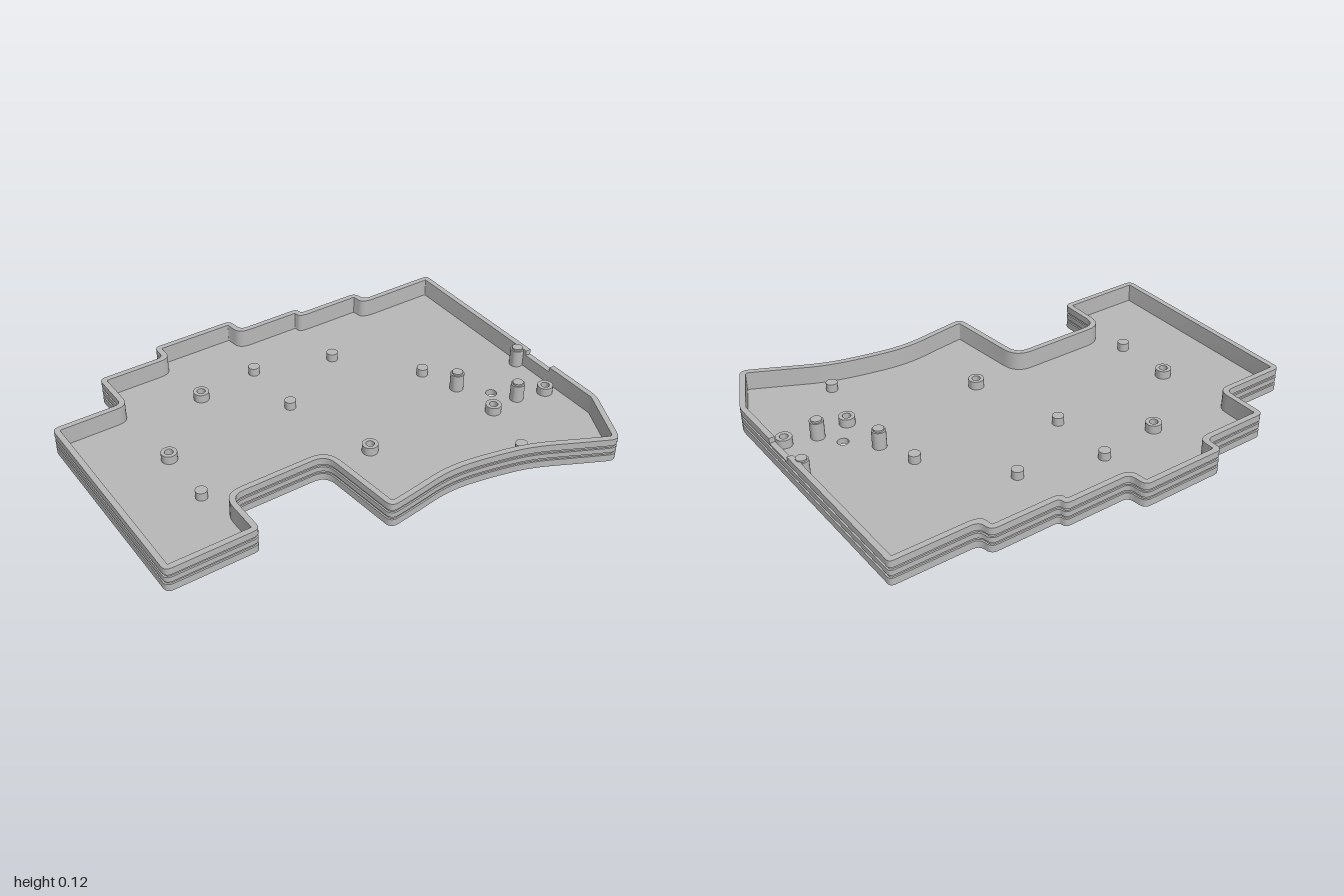
import * as THREE from 'three';
import { toCreasedNormals } from 'three/addons/utils/BufferGeometryUtils.js';

const FLOOR = 0.027, RIM = 0.11, WALL = 0.025, SLOT = 0.087, HOLE = 0.018;

// Corners of the case seen from above: x, z, corner radius
const corners = [
  [-1, 0.46, 0.03], [-0.602, 0.46, 0.03], [-0.602, 0.24, 0.06], [-0.167, 0.24, 0.06],
  [-0.13, 0.632, 0.035], [0, 0.615, 1], [0.2, 0.583, 1], [0.42, 0.622, 1], [0.56, 0.66, 1],
  [0.72, 0.74, 1], [0.875, 0.815, 0.04], [1, 0.545, 0.03],
  [1, 0.281, 0], [1, 0.28, 0], [1, 0.13, 0], [1, 0.129, 0], // wall slot
  [1, -0.627, 0.02], [0.628, -0.627, 0.035], [0.62, -0.69, 0.03], [0.318, -0.69, 0.02],
  [0.312, -0.727, 0.02], [0.015, -0.727, 0.03], [0.005, -0.812, 0.03], [-0.382, -0.812, 0.03],
  [-0.382, -0.727, 0.03], [-0.69, -0.727, 0.03], [-0.69, -0.518, 0.03], [-1, -0.518, 0.03],
].map(([x, z, r]) => ({ p: new THREE.Vector2(x, -z), r }));

const screwBosses = [[-0.34, -0.465], [-0.65, -0.175], [0.055, 0.232], [0.645, 0.305], [0.92, 0.322]];
const pegs = [[-0.055, -0.5], [-0.055, -0.2], [0.295, -0.4], [0.56, -0.08], [-0.655, 0.1], [0.57, 0.57]];
const tallPosts = [[0.62, 0.087], [0.96, 0.087], [0.788, 0.29]];
const plainHole = [0.723, 0.2];

// Rounded outline moved inwards by t; always the same number of points
function outline(t) {
  const n = corners.length;
  const moved = corners.map(({ p, r }, i) => {
    const a = p.clone().sub(corners[(i + n - 1) % n].p).normalize();
    const b = corners[(i + 1) % n].p.clone().sub(p).normalize();
    const n1 = new THREE.Vector2(-a.y, a.x), n2 = new THREE.Vector2(-b.y, b.x);
    const k = t / (1 + n1.dot(n2));
    const radius = r === 0 ? 0 : a.cross(b) > 0 ? Math.max(r - t, 0.005) : r + t;
    return { p: p.clone().addScaledVector(n1.add(n2), k), r: radius };
  });
  const points = [];
  moved.forEach(({ p, r }, i) => {
    if (r === 0) return points.push(p);
    const along = (q) => {
      const d = q.clone().sub(p), len = d.length();
      return p.clone().addScaledVector(d, Math.min(r, len * 0.49) / len);
    };
    const curve = new THREE.QuadraticBezierCurve(
      along(moved[(i + n - 1) % n].p), p, along(moved[(i + 1) % n].p));
    points.push(...curve.getPoints(6));
  });
  return points;
}

// Wall skin swept through [inset, height] steps, with the slot lowered on the right side
function wallGeometry(steps) {
  const pos = [], index = [];
  let n = 0;
  for (const [t, y] of steps) {
    const pts = outline(t);
    n = pts.length;
    for (const p of pts) {
      const inSlot = p.x > 0.9 && -p.y > 0.1295 && -p.y < 0.2805;
      pos.push(p.x, inSlot ? Math.min(y, SLOT) : y, -p.y);
    }
  }
  for (let k = 0; k < steps.length - 1; k++) {
    for (let i = 0; i < n; i++) {
      const j = (i + 1) % n, a = k * n + i, b = k * n + j;
      index.push(a, b, b + n, a, b + n, a + n);
    }
  }
  const g = new THREE.BufferGeometry();
  g.setAttribute('position', new THREE.Float32BufferAttribute(pos, 3));
  g.setIndex(index);
  return toCreasedNormals(g, 0.5);
}

// Flat plate with the through holes
function plateGeometry(t, y, down) {
  const shape = new THREE.Shape(outline(t));
  for (const [x, z] of [...screwBosses, plainHole]) {
    const r = x === plainHole[0] ? 0.024 : HOLE;
    shape.holes.push(new THREE.Path().absarc(x, -z, r, 0, Math.PI * 2, true));
  }
  const g = new THREE.ShapeGeometry(shape, 24);
  g.rotateX(-Math.PI / 2).translate(0, y, 0);
  if (down) {
    g.index.array.reverse();
    g.computeVertexNormals();
  }
  return g;
}

function turned(profile) {
  const pts = profile.map(([r, y]) => new THREE.Vector2(r, y));
  return toCreasedNormals(new THREE.LatheGeometry(pts, 24), 0.6);
}

export function createModel() {
  const model = new THREE.Group();
  model.name = 'caseTray';
  const grey = new THREE.MeshStandardMaterial({ color: 0xb8b8b8 });
  grey.name = 'grey plastic';
  const add = (name, geometry, x = 0, z = 0) => {
    const m = new THREE.Mesh(geometry, grey);
    m.name = name;
    m.position.set(x, 0, z);
    model.add(m);
  };

  // Perimeter wall with two grooves around the outside
  const steps = [[0, 0]];
  for (const y of [0.032, 0.067]) {
    steps.push([0, y], [0.007, y], [0.007, y + 0.012], [0, y + 0.012]);
  }
  steps.push([0, RIM], [WALL, RIM], [WALL, FLOOR]);
  add('wall', wallGeometry(steps));

  // Floor
  add('floorTop', plateGeometry(WALL, FLOOR, false));
  add('floorUnderside', plateGeometry(0, 0, true));
  add('floorHole', turned([[0.024, FLOOR], [0.024, 0]]), ...plainHole);

  // Hollow screw bosses, support pegs and stepped tall posts
  const boss = turned([[0.034, FLOOR], [0.034, 0.065], [HOLE, 0.065], [HOLE, 0]]);
  for (const at of screwBosses) add('screwBoss', boss, ...at);
  const peg = turned([[0.025, FLOOR], [0.025, 0.064], [0, 0.064]]);
  for (const at of pegs) add('supportPeg', peg, ...at);
  const post = turned([[0.03, FLOOR], [0.03, 0.107], [0.023, 0.107], [0.023, 0.115], [0, 0.115]]);
  for (const at of tallPosts) add('tallPost', post, ...at);

  return model;
}
